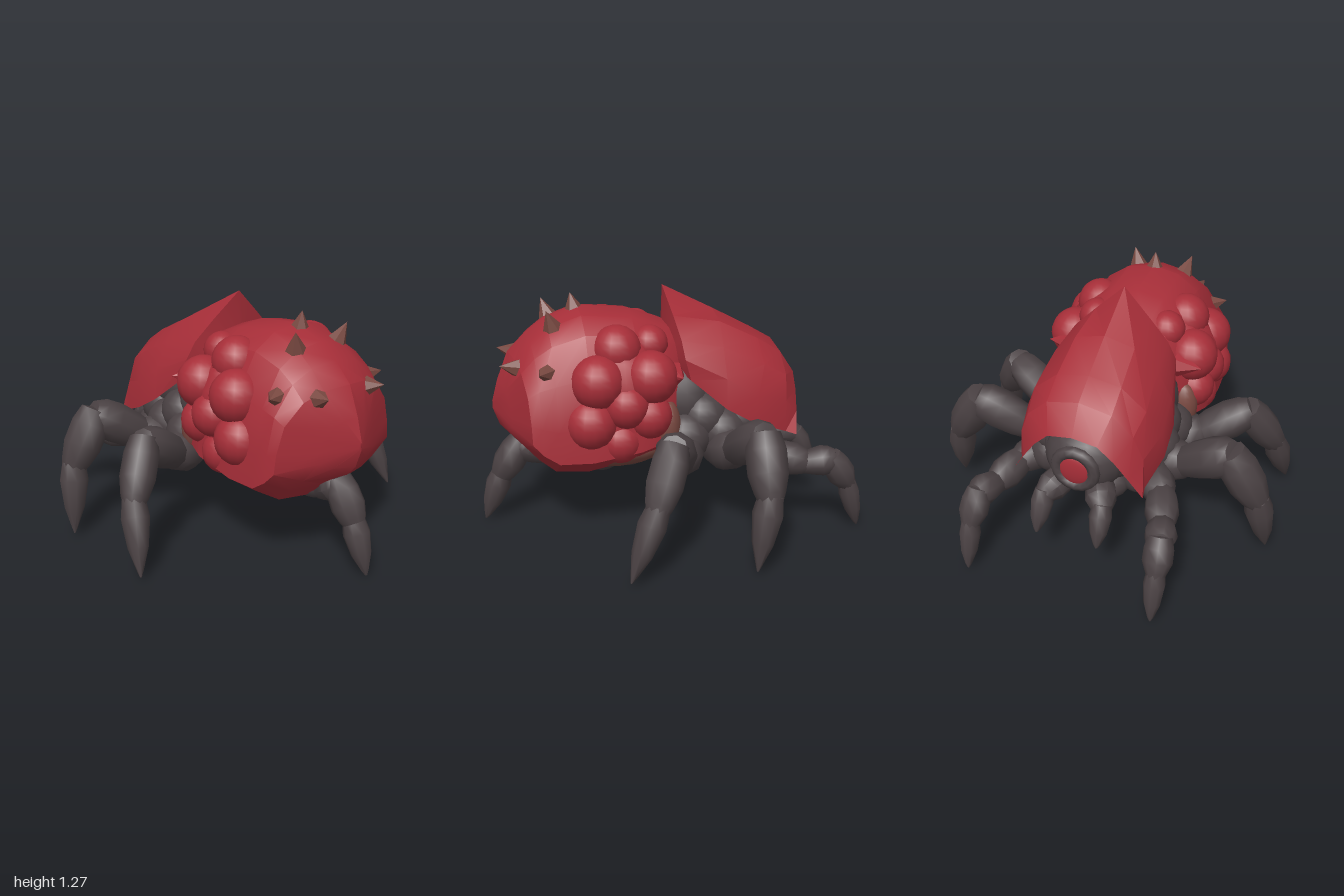
import * as THREE from 'three';
import { toCreasedNormals } from 'three/addons/utils/BufferGeometryUtils.js';

const mat = (name, color, side = THREE.FrontSide) => {
  const m = new THREE.MeshStandardMaterial({ color, side });
  m.name = name;
  return m;
};
const V = (p) => new THREE.Vector3(...p);
const mirror = (p) => [-p[0], p[1], p[2]];

// Skin between successive rows of points; rows may be closed rings or open arches
function loft(rows, closed, caps) {
  const n = rows[0].length, pos = rows.flat(2), idx = [];
  for (let i = 0; i < rows.length - 1; i++) {
    for (let j = 0; j < (closed ? n : n - 1); j++) {
      const a = i * n + j, b = i * n + (j + 1) % n;
      idx.push(a, a + n, b, b, a + n, b + n);
    }
  }
  if (caps) {
    const last = (rows.length - 1) * n;
    for (let j = 1; j < n - 1; j++) {
      idx.push(0, j, j + 1);
      idx.push(last, last + j + 1, last + j);
    }
  }
  const g = new THREE.BufferGeometry();
  g.setAttribute('position', new THREE.Float32BufferAttribute(pos, 3));
  g.setIndex(idx);
  return toCreasedNormals(g, 0.5);
}

export function createModel() {
  const model = new THREE.Group();
  model.name = 'armouredCrawler';
  const red = mat('shellRed', 0xa62e38, THREE.DoubleSide);
  const dark = mat('hideDark', 0x4a4143);
  const brown = mat('hornBrown', 0x784840);

  const add = (parent, name, geo, material) => {
    const m = new THREE.Mesh(geo, material);
    m.name = name;
    parent.add(m);
    return m;
  };
  const blob = (name, p, r, material) => {
    const m = add(model, name, new THREE.SphereGeometry(1, 16, 12), material);
    m.position.set(...p);
    m.scale.set(...r);
  };
  const up = new THREE.Vector3(0, 1, 0);
  const spike = (name, p, dir, r, h, material) => {
    const g = new THREE.ConeGeometry(r, h, 6).translate(0, h / 2, 0);
    const m = add(model, name, toCreasedNormals(g, 0.5), material);
    m.position.set(...p);
    m.quaternion.setFromUnitVectors(up, V(dir).normalize());
  };

  // Jointed limb: one swollen, tapering piece between each pair of joints
  function limb(name, joints, radii) {
    const g = new THREE.Group();
    g.name = name;
    for (let i = 0; i < joints.length - 1; i++) {
      const a = V(joints[i]), d = V(joints[i + 1]).sub(a), L = d.length();
      const r0 = radii[i], r1 = radii[i + 1], tip = i === joints.length - 2;
      const k = tip ? 0 : 0.03;
      const prof = [[0, -0.04], [r0 * 0.8, -0.025], [r0, L * 0.2], [r0 * 0.55 + r1 * 0.45 + 0.01, L * 0.6],
        [r1 + (tip ? 0.012 : 0), L * 0.9], [r1 * 0.75, L + k * 0.6], [0, L + k]];
      const geo = new THREE.LatheGeometry(prof.map((p) => new THREE.Vector2(...p)), 9);
      const m = add(g, name + 'Segment', toCreasedNormals(geo, 0.8), dark);
      m.position.copy(a);
      m.quaternion.setFromUnitVectors(up, d.normalize());
    }
    model.add(g);
  }

  // Abdomen: shield-shaped rings [z centre, z side, half width, top, bottom]
  const outline = [[0, 1], [0.35, 0.97], [0.62, 0.88], [0.87, 0.66], [0.97, 0.38], [1, 0.17], [0.6, 0.04], [0, 0]];
  const rings = [
    [-0.08, -0.05, 0.3, 1.05, 0.46], [0.02, 0.02, 0.37, 1.1, 0.4], [0.18, 0.18, 0.42, 1.155, 0.35],
    [0.45, 0.43, 0.425, 1.18, 0.3], [0.62, 0.6, 0.415, 1.12, 0.315], [0.72, 0.68, 0.41, 1.045, 0.395],
    [0.82, 0.73, 0.395, 0.95, 0.48], [0.88, 0.82, 0.19, 0.8, 0.545], [0.913, 0.909, 0.012, 0.68, 0.64],
  ].map(([zc, zs, w, top, bot]) => {
    const half = outline.map(([x, t]) => [x * w, bot + t * (top - bot), zc + (zs - zc) * x]);
    return [...half, ...half.slice(1, -1).reverse().map(mirror)].reverse();
  });
  add(model, 'abdomen', loft(rings, true, true), red);
  blob('abdomenBulge', [0, 0.77, 0.26], [0.45, 0.36, 0.3], red);
  blob('abdomenUnderside', [0, 0.45, 0.28], [0.36, 0.14, 0.37], brown);
  blob('bellyPad', [0, 0.42, 0.29], [0.25, 0.125, 0.36], dark);

  // Back plate: arches from the rear peak to the brow, with the rear face closed in
  const rear = [[0, 1.27, -0.01], [0.15, 1.13, -0.04], [0.26, 1.02, -0.06], [0.31, 0.93, -0.07], [0.31, 0.82, -0.1]];
  const arches = [
    rear.map(([x, y]) => [x * 0.3, 0.9 + (y - 0.9) * 0.3, -0.01]),
    rear,
    [[0, 1.13, -0.29], [0.16, 1.09, -0.29], [0.28, 0.98, -0.28], [0.36, 0.83, -0.28], [0.375, 0.67, -0.28]],
    [[0, 1.02, -0.5], [0.17, 0.99, -0.5], [0.3, 0.88, -0.5], [0.37, 0.73, -0.45], [0.38, 0.58, -0.44]],
    [[0, 0.945, -0.63], [0.17, 0.91, -0.63], [0.28, 0.81, -0.63], [0.33, 0.68, -0.62], [0.34, 0.51, -0.62]],
    [[0, 0.8, -0.725], [0.13, 0.78, -0.725], [0.21, 0.7, -0.715], [0.28, 0.6, -0.7], [0.35, 0.49, -0.68]],
  ].map((h) => [...h.slice(1).reverse().map(mirror), ...h]);
  add(model, 'backPlate', loft(arches, false, false), red);

  // Thorax and head
  blob('thorax', [0, 0.58, -0.3], [0.31, 0.21, 0.4], dark);
  blob('thoraxTop', [0, 0.72, -0.33], [0.32, 0.26, 0.32], dark);
  blob('waist', [0, 0.68, -0.08], [0.335, 0.28, 0.22], dark);
  blob('head', [0, 0.59, -0.57], [0.21, 0.19, 0.16], dark);
  const socket = add(model, 'eyeSocket', new THREE.TorusGeometry(0.1, 0.033, 8, 16), dark);
  socket.position.set(0, 0.59, -0.695);
  blob('eye', [0, 0.59, -0.705], [0.09, 0.09, 0.025], red);

  // Lumpy belly
  for (let i = 0; i < 8; i++) {
    const z = -0.52 + i * 0.145;
    const y = [0.42, 0.44, 0.48, 0.48, 0.46, 0.42, 0.4, 0.4][i];
    const w = [0.1, 0.13, 0.15, 0.15, 0.15, 0.15, 0.14, 0.1][i];
    blob('bellyLump', [0, y - 0.01, z + 0.06], [0.12, 0.1, 0.11], dark);
    for (const s of [-1, 1]) blob('bellyLump', [s * w, y, z], [0.12, 0.1, 0.11], dark);
  }

  for (const s of [-1, 1]) {
    const side = (p) => [s * p[0], p[1], p[2]];
    // Hip and flank lumps
    for (const [x, y, z, r] of [[0.25, 0.46, -0.44, 0.12], [0.27, 0.52, -0.28, 0.14], [0.28, 0.51, -0.08, 0.14],
      [0.24, 0.6, -0.18, 0.14], [0.22, 0.58, -0.4, 0.14]]) {
      blob('hipLump', side([x, y, z]), [r, r, r], dark);
    }
    blob('flankPatch', side([0.33, 0.59, 0.03]), [0.08, 0.14, 0.07], brown);
    // Boils sunk into the abdomen flanks
    for (const [x, y, z, r] of [[0.34, 0.85, 0.39, 0.14], [0.25, 0.99, 0.28, 0.13], [0.34, 0.86, 0.12, 0.14],
      [0.35, 0.64, 0.43, 0.135], [0.37, 0.73, 0.25, 0.12], [0.35, 0.66, 0.13, 0.12], [0.2, 1.0, 0.1, 0.1],
      [0.33, 0.53, 0.28, 0.12]]) {
      blob('boil', side([x, y, z]), [r, r, r], red);
    }
    // Horns
    spike('horn', side([0.165, 0.9, 0.78]), side([0.25, 0.25, 1]), 0.05, 0.095, brown);
    spike('horn', side([0.3, 0.9, 0.64]), side([1, 0.2, 0.5]), 0.05, 0.09, brown);
    spike('horn', side([0.13, 1.07, 0.58]), side([0.35, 1, 0.35]), 0.065, 0.135, brown);
    spike('shoulderSpike', side([0.3, 0.86, 0]), side([1, 0.1, -0.2]), 0.07, 0.14, red);

    // Three pairs of legs and the fangs
    limb('headLeg', [[0.28, 0.44, -0.38], [0.4, 0.41, -0.53], [0.46, 0.37, -0.7], [0.495, 0.39, -0.83],
      [0.505, 0.25, -0.92], [0.505, 0, -0.99]].map(side), [0.09, 0.085, 0.072, 0.075, 0.056, 0.006]);
    limb('middleLeg', [[0.28, 0.42, -0.26], [0.46, 0.48, -0.31], [0.71, 0.63, -0.37], [0.86, 0.37, -0.36],
      [0.915, 0.02, -0.29]].map(side), [0.11, 0.1, 0.103, 0.078, 0.006]);
    limb('abdomenLeg', [[0.28, 0.42, -0.08], [0.46, 0.46, 0], [0.69, 0.6, 0.08], [0.83, 0.35, 0.19],
      [0.895, 0.02, 0.33]].map(side), [0.11, 0.1, 0.093, 0.073, 0.006]);
    limb('fang', [[0.1, 0.46, -0.62], [0.16, 0.42, -0.75], [0.165, 0.24, -0.845]].map(side), [0.08, 0.06, 0.008]);
  }
  spike('horn', [0, 1.14, 0.46], [0, 1, 0.2], 0.06, 0.11, brown);

  // Single leg under the abdomen tip
  limb('tailLeg', [[0, 0.4, 0.55], [0, 0.37, 0.67], [0, 0.43, 0.78], [0, 0.25, 0.89], [0, 0, 0.985]],
    [0.09, 0.08, 0.085, 0.07, 0.008]);

  return model;
}
